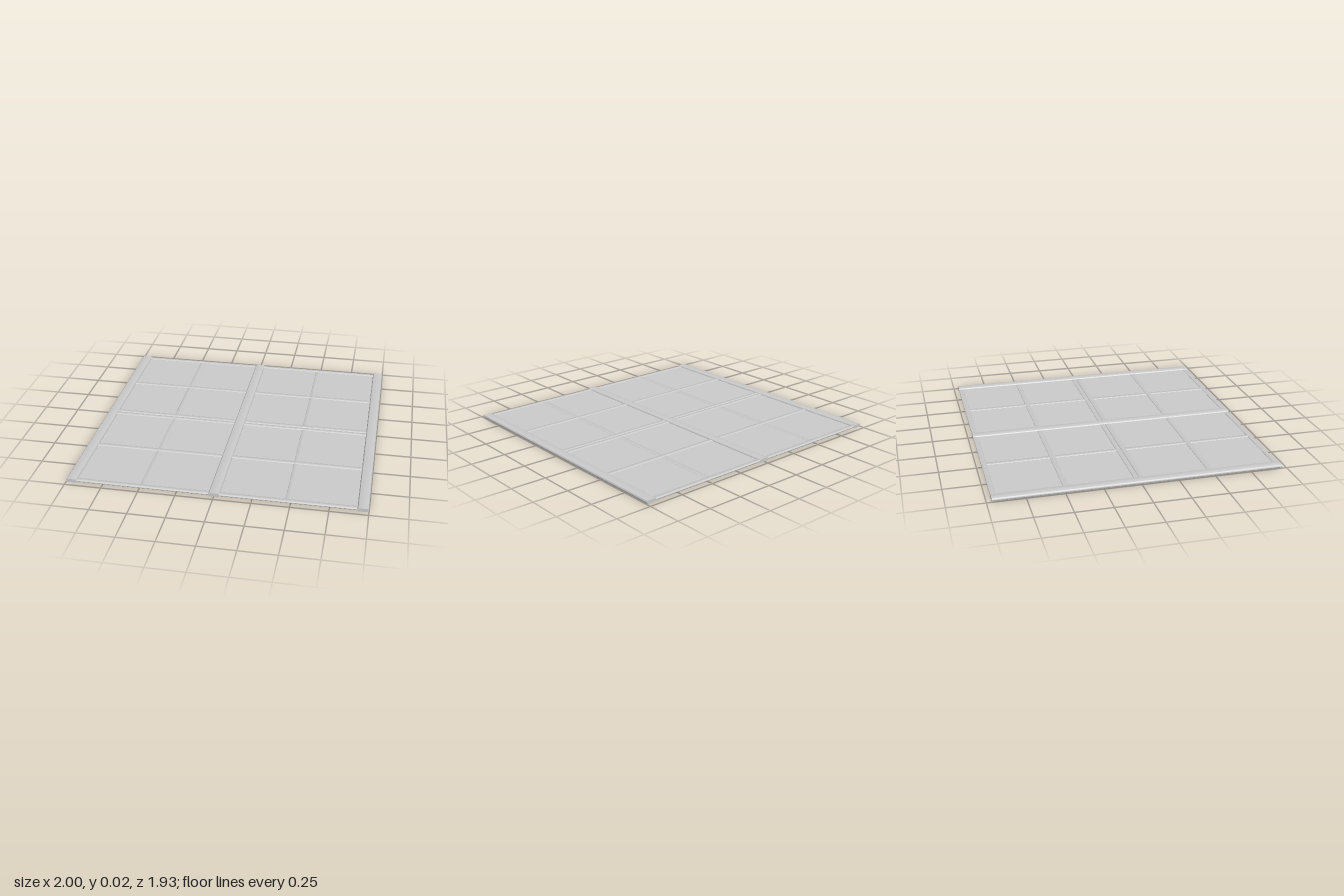
import * as THREE from 'three';
import { toCreasedNormals } from 'three/addons/utils/BufferGeometryUtils.js';

const material = new THREE.MeshStandardMaterial({ color: 0xcccccc });
const MID = 0.012; // height of the mid plane
const DEPTH = 1.934; // full length along z
const STILE = 0.074, BAR = 0.036;

// Bar along z with rounded long edges, centred on its own origin
function roundedBar(width, height, length) {
  const r = height / 2, s = width / 2 - r;
  const shape = new THREE.Shape();
  shape.moveTo(-s, -r);
  shape.lineTo(s, -r);
  shape.absarc(s, 0, r, -Math.PI / 2, Math.PI / 2, false);
  shape.lineTo(-s, r);
  shape.absarc(-s, 0, r, Math.PI / 2, Math.PI * 1.5, false);
  const geo = new THREE.ExtrudeGeometry(shape, { depth: length, bevelEnabled: false, curveSegments: 8 });
  geo.translate(0, 0, -length / 2);
  return toCreasedNormals(geo, 0.7);
}

export function createModel() {
  const model = new THREE.Group();
  const add = (name, geometry, x, z, turn = 0) => {
    const mesh = new THREE.Mesh(geometry, material);
    mesh.name = name;
    mesh.position.set(x, MID, z);
    mesh.rotation.y = turn;
    model.add(mesh);
  };

  // Three thick stiles running front to back
  const stile = roundedBar(STILE, 0.024, DEPTH);
  add('rightStile', stile, -1 + STILE / 2, 0);
  add('centreStile', stile, 0, 0);
  add('leftStile', stile, 1 - STILE / 2, 0);

  const inner = STILE / 2, outer = 1 - STILE;
  const bayWidth = outer - inner, bayX = (outer + inner) / 2;
  const edgeZ = DEPTH / 2 - BAR / 2, midZ = 0.485;
  const railZ = [BAR / 2, midZ, edgeZ];

  const rail = roundedBar(BAR, 0.012, bayWidth + 0.02);
  const muntinLength = edgeZ - BAR / 2;
  const muntin = roundedBar(BAR, 0.009, muntinLength);
  const panel = new THREE.BoxGeometry(bayWidth + 0.02, 0.003, muntinLength);

  for (const sx of [-1, 1]) {
    for (const sz of [-1, 1]) {
      // Cross rails, doubled where the two sashes meet
      for (const z of railZ) add('crossRail', rail, sx * bayX, sz * z, Math.PI / 2);
      // Slimmer upright bar and flat panel of each sash
      const z = sz * (BAR / 2 + muntinLength / 2);
      add('glazingBar', muntin, sx * bayX, z);
      add('panel', panel, sx * bayX, z);
    }
  }
  return model;
}
